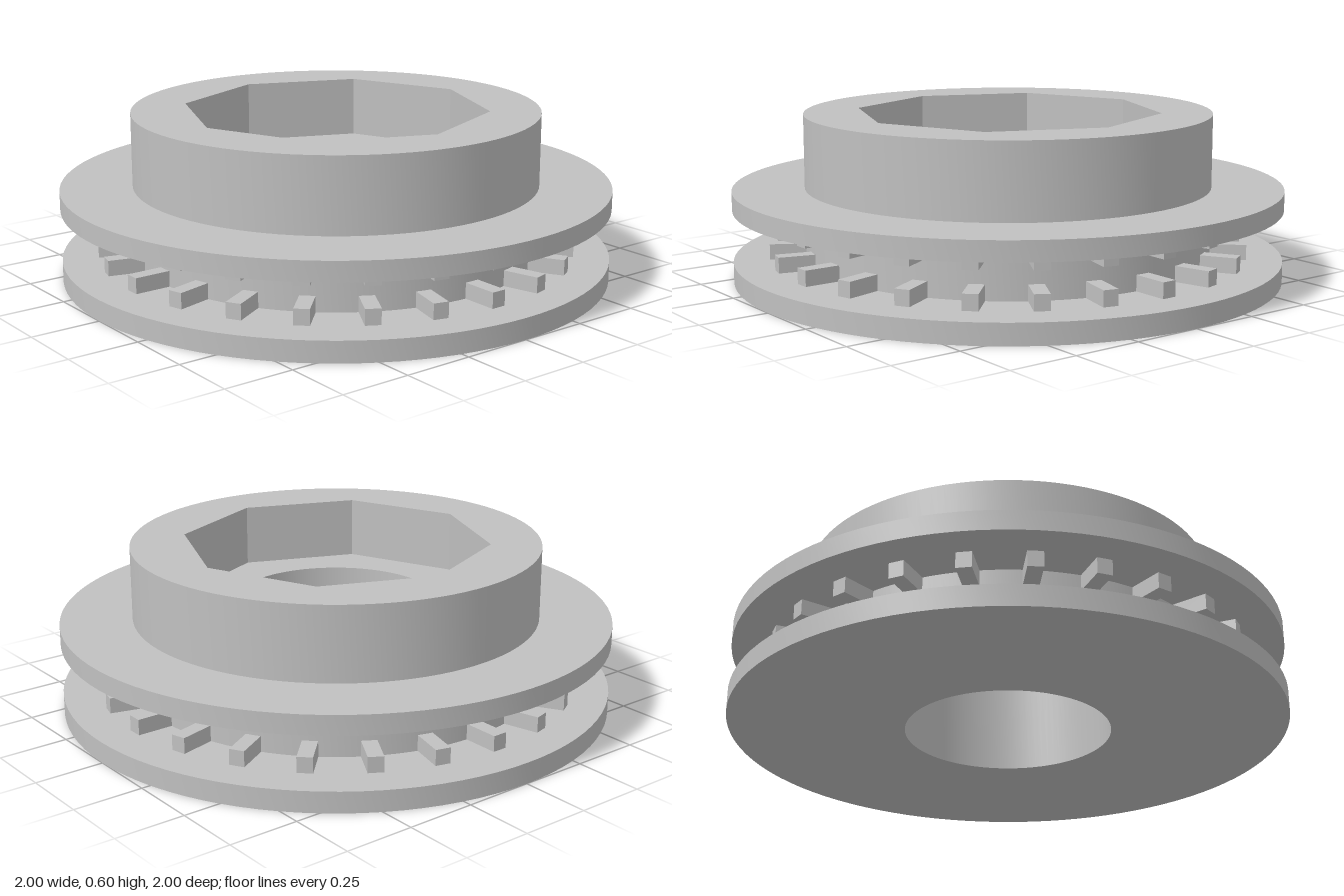
import * as THREE from 'three';
import { toCreasedNormals } from 'three/addons/utils/BufferGeometryUtils.js';

const SEGMENTS = 96;
const BORE = 0.37, HUB = 0.74, FLANGE = 1, POCKET = 0.557;
const TOP = 0.6, FLOOR = 0.378;
const TEETH = 24;

// Closed regular outline, first corner on +x
function ringPath(PathType, radius, sides) {
  const points = [];
  for (let i = 0; i < sides; i++) {
    const a = (i / sides) * Math.PI * 2;
    points.push(new THREE.Vector2(Math.cos(a) * radius, Math.sin(a) * radius));
  }
  return new PathType(points);
}

// Flat upward face with a hole, at height y
function flatFace(outerRadius, outerSides, holeRadius, holeSides, y) {
  const shape = ringPath(THREE.Shape, outerRadius, outerSides);
  shape.holes.push(ringPath(THREE.Path, holeRadius, holeSides));
  return new THREE.ShapeGeometry(shape).rotateX(-Math.PI / 2).translate(0, y, 0);
}

export function createModel() {
  const model = new THREE.Group();
  model.name = 'flangedHub';
  const grey = new THREE.MeshStandardMaterial({ color: 0xc0c0c0 });
  grey.name = 'grey metal';

  const add = (name, geometry, parent = model) => {
    const mesh = new THREE.Mesh(geometry, grey);
    mesh.name = name;
    parent.add(mesh);
    return mesh;
  };

  // Bore, both flanges, hub and collar as one turned profile
  const profile = [
    [BORE, FLOOR], [BORE, 0], [FLANGE, 0], [FLANGE, 0.075], [HUB, 0.075],
    [HUB, 0.263], [FLANGE, 0.263], [FLANGE, 0.333], [HUB, 0.333], [HUB, TOP],
  ].map(([r, y]) => new THREE.Vector2(r, y));
  add('turnedBody', toCreasedNormals(new THREE.LatheGeometry(profile, SEGMENTS), Math.PI / 6));

  // Octagonal pocket in the collar
  add('collarTop', flatFace(HUB, SEGMENTS, POCKET, 8, TOP));
  add('pocketFloor', flatFace(POCKET, 8, BORE, SEGMENTS, FLOOR));
  const walls = new THREE.CylinderGeometry(POCKET, POCKET, TOP - FLOOR, 8, 1, true);
  walls.scale(-1, 1, 1).translate(0, (TOP + FLOOR) / 2, 0); // mirrored to face inward
  add('pocketWalls', toCreasedNormals(walls, Math.PI / 6));

  // Radial teeth on the facing sides of the flanges
  const tooth = new THREE.BoxGeometry(0.054, 0.056, 0.14).translate(0, 0, 0.8);
  for (const [name, y] of [['lowerTeeth', 0.103], ['upperTeeth', 0.235]]) {
    const ring = new THREE.Group();
    ring.name = name;
    ring.position.y = y;
    for (let i = 0; i < TEETH; i++) {
      add('tooth', tooth, ring).rotation.y = (i / TEETH) * Math.PI * 2;
    }
    model.add(ring);
  }
  return model;
}
